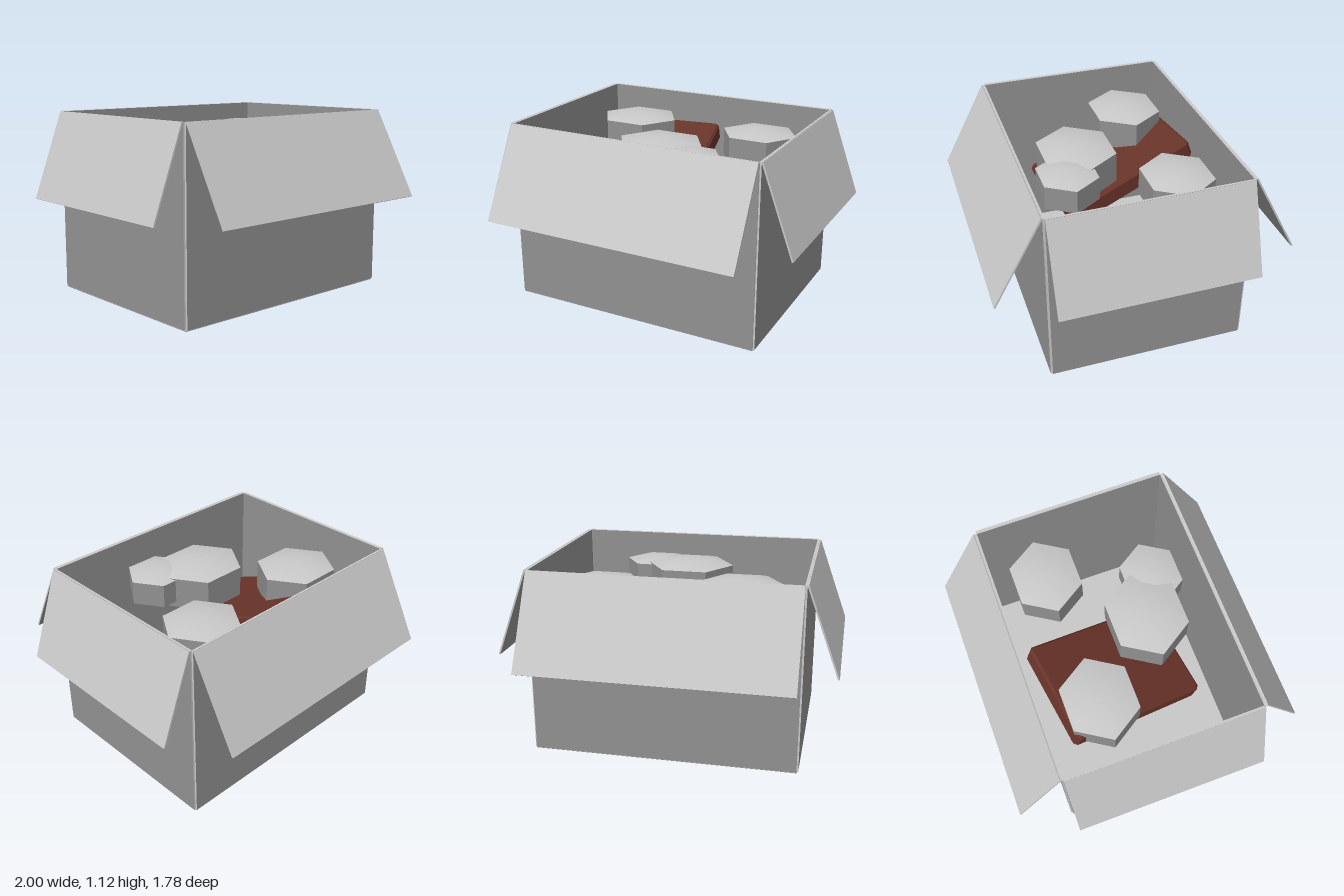
import * as THREE from 'three';
import { RoundedBoxGeometry } from 'three/addons/geometries/RoundedBoxGeometry.js';

export function createModel() {
  const model = new THREE.Group();
  model.name = 'openBox';

  function material(name, color) {
    const m = new THREE.MeshStandardMaterial({ color });
    m.name = name;
    return m;
  }
  const light = material('light gray', 0xc8c8c8);
  const dark = material('dark gray', 0x919191);
  const brown = material('red brown', 0x683329);

  const W = 1.58, D = 1.18, H = 1.12, T = 0.014;

  function add(name, geometry, mat, parent = model) {
    const mesh = new THREE.Mesh(geometry, mat);
    mesh.name = name;
    parent.add(mesh);
    return mesh;
  }

  // Floor with chamfered edges
  add('floor', new RoundedBoxGeometry(1.588, T, 1.19, 1, 0.006), light).position.y = T / 2;

  // Walls are dark with light cut edges; flaps are light on the face turned up
  const wallColors = [light, light, light, light, dark, dark];
  const flapColors = [light, light, light, light, light, dark];
  function side(name, width, distance, reach, angle) {
    const group = new THREE.Group();
    group.name = name + 'Side';
    group.rotation.y = angle;
    model.add(group);
    add(name + 'Wall', new THREE.BoxGeometry(width, H - 0.01, T), wallColors, group)
      .position.set(0, H / 2 + 0.005, distance - T / 2);

    const drop = 0.525, out = reach - distance - 0.008;
    const flap = add(name + 'Flap', new THREE.BoxGeometry(width, Math.hypot(drop, out), 0.01), flapColors, group);
    flap.position.set(0, H - drop / 2, distance + 0.003 + out / 2);
    flap.rotation.x = -Math.atan2(out, drop);
  }
  side('front', W, 0.602, 0.893, 0);
  side('back', W, 0.602, 0.893, Math.PI);
  side('left', D, 0.8, 1, Math.PI / 2);
  side('right', D, 0.8, 1, -Math.PI / 2);

  // Book with chamfered edges, leaning inside the box
  const bevel = 0.015, cut = 0.012, a = 0.316 - bevel, b = 0.44 - bevel, thick = 0.12;
  const outline = new THREE.Shape([
    [a, cut - b], [a, b - cut], [a - cut, b], [cut - a, b],
    [-a, b - cut], [-a, cut - b], [cut - a, -b], [a - cut, -b],
  ].map(([x, y]) => new THREE.Vector2(x, y)));
  const bookShape = new THREE.ExtrudeGeometry(outline, {
    depth: thick - 2 * bevel, bevelThickness: bevel, bevelSize: bevel, bevelSegments: 1,
  });
  bookShape.center().rotateX(-Math.PI / 2);
  const book = add('book', bookShape, brown);
  book.position.set(-0.2, 0.755, -0.083);
  book.rotation.set(0.34, 0.148, 0, 'YXZ');

  // Six-sided canisters with softly domed tops: x, z, radius, rim height
  const canisters = [
    [-0.4, -0.243, 0.258, 1.017],
    [0.437, -0.283, 0.243, 1.002],
    [-0.005, 0.197, 0.275, 1.012],
    [0.232, 0.317, 0.21, 1.002],
  ];
  canisters.forEach(([x, z, r, rim], i) => {
    const can = new THREE.Group();
    can.name = 'canister' + (i + 1);
    can.position.set(x, rim, z);
    can.scale.z = 0.9;
    model.add(can);

    const height = r * 0.7;
    const body = new THREE.CylinderGeometry(r, r, height, 6, 1, true, Math.PI / 2).toNonIndexed();
    body.computeVertexNormals();
    add('canisterBody', body, dark, can).position.y = -height / 2;

    const base = add('canisterBase', new THREE.CircleGeometry(r, 6), dark, can);
    base.rotation.x = Math.PI / 2;
    base.position.y = -height;

    const profile = [];
    for (let k = 0; k <= 4; k++) {
      const t = 1 - k / 4;
      profile.push(new THREE.Vector2(r * t, 0.14 * r * (1 - t * t)));
    }
    add('canisterTop', new THREE.LatheGeometry(profile, 6, Math.PI / 2), light, can);
  });

  return model;
}
